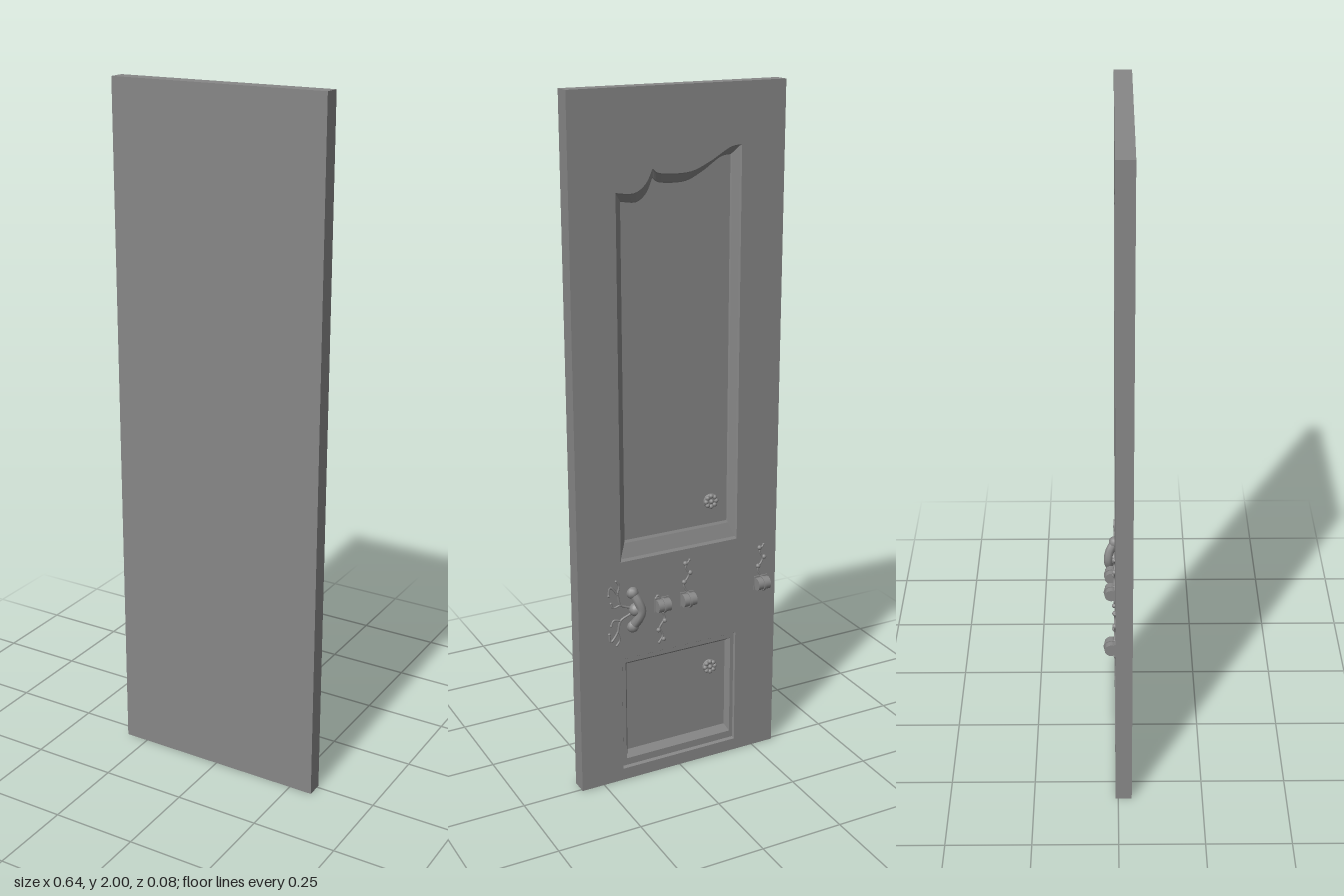
import * as THREE from 'three';

const BACK = -0.008, FLOOR = 0.014, FRONT = 0.04, W = 0.32;
const grey = new THREE.MeshStandardMaterial({ color: 0x878787 });
const flat = new THREE.MeshStandardMaterial({ color: 0x878787, flatShading: true, side: THREE.DoubleSide });
const v3 = (x, y, z) => new THREE.Vector3(x, y, z);

function add(parent, name, geometry, x = 0, y = 0, z = 0, material = grey) {
  const mesh = new THREE.Mesh(geometry, material);
  mesh.name = name;
  mesh.position.set(x, y, z);
  parent.add(mesh);
  return mesh;
}

function tube(parent, name, points, radius, segments = 24) {
  const curve = new THREE.CatmullRomCurve3(points.map(p => v3(...p)));
  add(parent, name, new THREE.TubeGeometry(curve, segments, radius, 8));
  for (const p of [points[0], points[points.length - 1]]) {
    add(parent, name + 'End', new THREE.SphereGeometry(radius * 1.3, 10, 8), ...p);
  }
}

// Curved upper edge of the tall panel: a sweep up to a cusp, then a long wave
function curvedTop() {
  const spline = (pts, n) => new THREE.SplineCurve(pts.map(p => new THREE.Vector2(...p))).getPoints(n);
  const a = spline([[0.187, 1.735], [0.135, 1.73], [0.1, 1.752], [0.08, 1.79]], 12);
  const b = spline([[0.08, 1.79], [0.055, 1.776], [-0.028, 1.774], [-0.09, 1.797], [-0.15, 1.83], [-0.187, 1.836]], 24);
  return [...a, ...b.slice(1)];
}

// Closed outline of a panel, drawn in by s on every side
function outline(top, bottom, s, bottomScale) {
  const k = (0.187 - s) / 0.187;
  const pts = top.map(p => new THREE.Vector2(p.x * k, p.y - s * 1.2));
  pts.push(new THREE.Vector2(-0.187 * k, bottom + s * bottomScale), new THREE.Vector2(0.187 * k, bottom + s * bottomScale));
  return pts;
}

// Moulding lofted through successive outlines, following [inset, z] steps
function moulding(parent, name, top, bottom, bottomScale, profile) {
  const rings = profile.map(([s, z]) => outline(top, bottom, s, bottomScale).map(p => [p.x, p.y, z]));
  const pos = [], index = [], n = rings[0].length;
  rings.forEach(r => r.forEach(p => pos.push(...p)));
  for (let r = 0; r < rings.length - 1; r++) {
    for (let i = 0; i < n; i++) {
      const a = r * n + i, b = r * n + (i + 1) % n;
      index.push(a, a + n, b, b, a + n, b + n);
    }
  }
  const g = new THREE.BufferGeometry();
  g.setAttribute('position', new THREE.Float32BufferAttribute(pos, 3));
  g.setIndex(index);
  g.computeVertexNormals();
  add(parent, name, g, 0, 0, 0, flat);
}

// Small flower boss lying in a panel
function rosette(x, y) {
  const g = new THREE.Group();
  g.name = 'rosette';
  g.position.set(x, y, FLOOR);
  add(g, 'rosetteDisc', new THREE.CylinderGeometry(0.02, 0.022, 0.006, 24), 0, 0, -0.003).rotation.x = -Math.PI / 2;
  for (let i = 0; i < 8; i++) {
    const a = i * Math.PI / 4;
    add(g, 'petal', new THREE.SphereGeometry(0.007, 10, 8), Math.cos(a) * 0.016, Math.sin(a) * 0.016, -0.006);
  }
  add(g, 'rosetteCentre', new THREE.SphereGeometry(0.007, 12, 8), 0, 0, -0.008);
  return g;
}

// Raised barrel with a middle ridge and a beaded, curling tail
function barrelOrnament(x, flip) {
  const g = new THREE.Group();
  g.name = 'barrelOrnament';
  g.position.set(x, 0.545, BACK);
  add(g, 'backPlate', new THREE.BoxGeometry(0.044, 0.044, 0.004), 0, 0, -0.001);
  add(g, 'barrel', new THREE.CylinderGeometry(0.019, 0.019, 0.04, 20), 0, 0, -0.011).rotation.z = Math.PI / 2;
  add(g, 'ridge', new THREE.CylinderGeometry(0.022, 0.022, 0.006, 24), 0, 0, -0.011).rotation.z = Math.PI / 2;
  tube(g, 'tail', [[0, 0.02, -0.002], [0.01, 0.045, -0.001], [-0.006, 0.075, -0.001], [0.004, 0.1, -0.001], [-0.008, 0.12, -0.001]], 0.003);
  tube(g, 'curl', [[0, -0.018, -0.002], [-0.012, -0.03, -0.001], [-0.018, -0.022, -0.001]], 0.003, 12);
  for (const [bx, by] of [[0.01, 0.054], [-0.01, 0.08], [0.006, 0.112]]) {
    add(g, 'bead', new THREE.SphereGeometry(0.007, 10, 8), bx, by, -0.002);
  }
  if (flip) g.rotation.z = Math.PI;
  return g;
}

// Leaning rounded pull with flat scrollwork beside it
function pullOrnament() {
  const g = new THREE.Group();
  g.name = 'pullOrnament';
  g.position.z = BACK;
  tube(g, 'pull', [[0.152, 0.495, 0], [0.14, 0.522, -0.015], [0.133, 0.548, -0.019], [0.14, 0.574, -0.015], [0.152, 0.6, 0]], 0.014);
  add(g, 'pullFoot', new THREE.SphereGeometry(0.02, 16, 12), 0.144, 0.548, -0.004);
  for (const s of [-1, 1]) {
    const y = d => 0.545 + s * d;
    tube(g, 'scroll', [[0.16, y(0.01), 0], [0.19, y(0.025), 0], [0.2, y(0.06), 0], [0.222, y(0.085), 0], [0.226, y(0.06), 0]], 0.0035);
    tube(g, 'scrollBranch', [[0.19, y(0.025), 0], [0.212, y(0.02), 0], [0.22, y(0.035), 0]], 0.003, 12);
    tube(g, 'scrollTip', [[0.2, y(0.06), 0], [0.193, y(0.085), 0], [0.203, y(0.1), 0]], 0.003, 12);
  }
  return g;
}

export function createModel() {
  const model = new THREE.Group();
  model.name = 'door';
  const tallTop = curvedTop();
  const lowTop = [new THREE.Vector2(0.187, 0.397), new THREE.Vector2(-0.187, 0.397)];

  // Solid front layer, whose rear forms the panel floors
  add(model, 'slab', new THREE.BoxGeometry(2 * W, 2, FRONT - FLOOR), 0, 1, (FRONT + FLOOR) / 2);

  // Rear layer with the two panel openings
  const face = new THREE.Shape([[-W, 0], [W, 0], [W, 2], [-W, 2]].map(p => new THREE.Vector2(...p)));
  face.holes.push(new THREE.Path(outline(tallTop, 0.7, 0, 2)), new THREE.Path(outline(lowTop, 0.037, 0, 2)));
  add(model, 'frame', new THREE.ExtrudeGeometry(face, { depth: FLOOR - BACK, bevelEnabled: false }), 0, 0, BACK);

  // Sloping mouldings inside the openings
  moulding(model, 'tallPanelMoulding', tallTop, 0.7, 2.4,
    [[0, BACK], [0.003, BACK + 0.005], [0.02, FLOOR - 0.004], [0.023, FLOOR]]);
  moulding(model, 'lowPanelMoulding', lowTop, 0.037, 2,
    [[0, BACK], [0.003, BACK + 0.006], [0.014, BACK + 0.006], [0.024, FLOOR]]);

  model.add(rosette(-0.11, 0.825), rosette(-0.11, 0.295));

  // Ornaments on the rail between the panels
  model.add(barrelOrnament(-0.27, false), barrelOrnament(-0.023, false), barrelOrnament(0.06, true), pullOrnament());
  return model;
}
